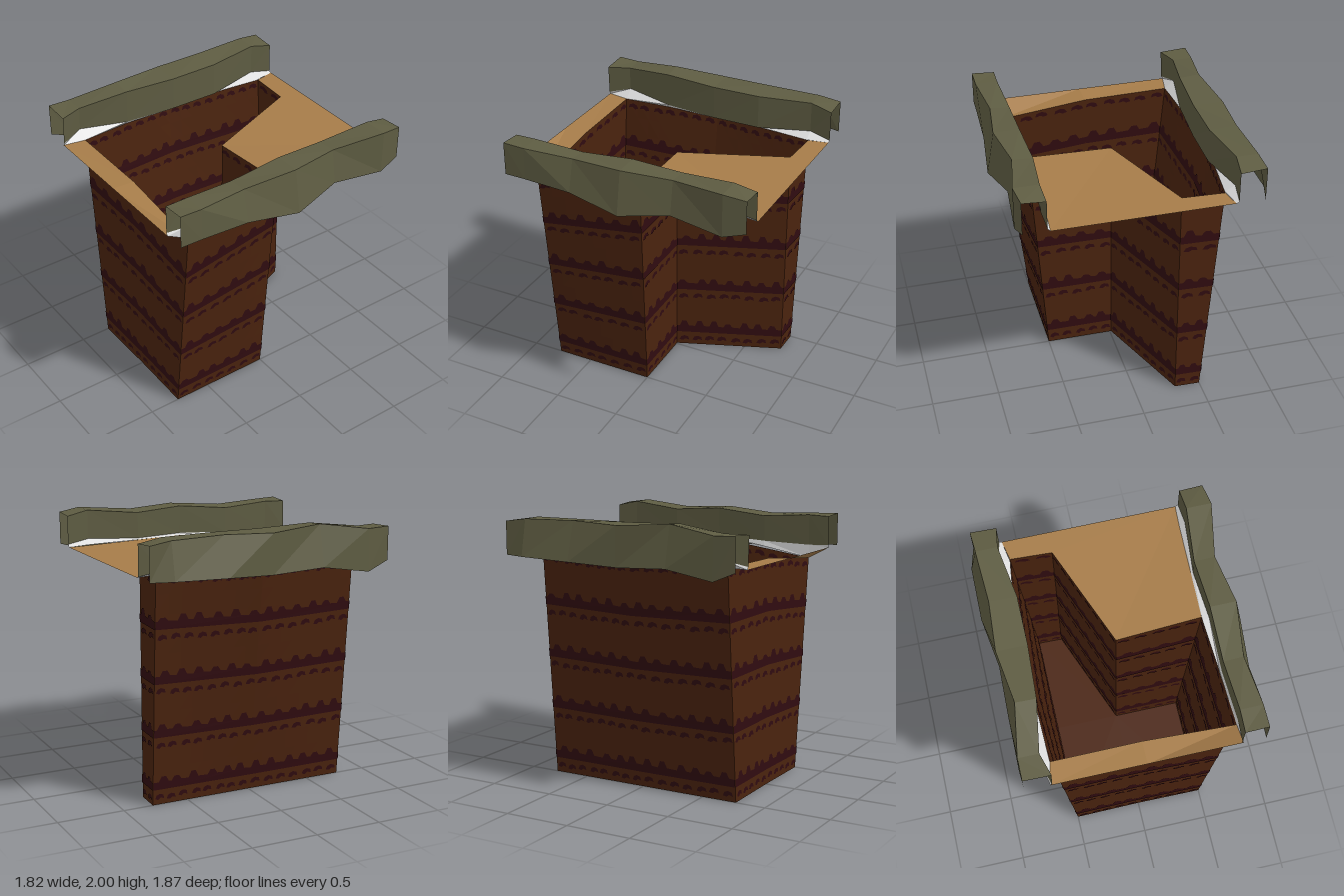
import * as THREE from 'three';
import { mergeGeometries } from 'three/addons/utils/BufferGeometryUtils.js';

const mat = (name, color) => {
  const m = new THREE.MeshStandardMaterial({ color, side: THREE.DoubleSide, flatShading: true });
  m.name = name;
  return m;
};

// Grid surface through rows of [x, y, z] points
function loft(rows) {
  const n = rows[0].length, index = [];
  for (let i = 0; i < rows.length - 1; i++)
    for (let j = 0; j < n - 1; j++) {
      const a = i * n + j, b = a + n;
      index.push(a, b, a + 1, b, b + 1, a + 1);
    }
  const g = new THREE.BufferGeometry();
  g.setAttribute('position', new THREE.Float32BufferAttribute(rows.flat(2), 3));
  g.setIndex(index);
  g.computeVertexNormals();
  return g;
}

// Polygon fan in the given corner order
function fan(points) {
  const g = new THREE.BufferGeometry(), index = [];
  for (let i = 1; i < points.length - 1; i++) index.push(0, i, i + 1);
  g.setAttribute('position', new THREE.Float32BufferAttribute(points.flat(), 3));
  g.setIndex(index);
  g.computeVertexNormals();
  return g;
}

// Dark layer outlines on a unit wall: wavy-topped bands with loose blobs beneath
function strataShapes(width, seed) {
  const shapes = [];
  const rnd = () => (seed = (seed * 16807) % 2147483647) / 2147483647;
  const bumps = Math.max(1, Math.round(width / 0.14)), blobs = Math.max(1, Math.round(width / 0.115));
  for (let k = 0; k < 5; k++) {
    const base = 0.068 + k * 0.2345;
    if (k < 4) {
      const s = new THREE.Shape();
      s.moveTo(0, base);
      s.lineTo(1, base);
      s.lineTo(1, base + 0.034);
      for (let i = bumps - 1; i >= 0; i--) {
        const c = (i + 0.35 + rnd() * 0.3) / bumps, w = 0.3 / bumps, h = 0.013 + rnd() * 0.016;
        s.lineTo(c + w, base + 0.036);
        s.lineTo(c + w * 0.45, base + 0.036 + h);
        s.lineTo(c - w * 0.45, base + 0.036 + h);
        s.lineTo(c - w, base + 0.034);
      }
      s.lineTo(0, base + 0.034);
      shapes.push(s);
    }
    for (let i = 0; i < blobs; i++) {
      const c = (i + 0.42 + rnd() * 0.16) / blobs, w = 0.37 / blobs, y = base - 0.038 + rnd() * 0.008;
      shapes.push(new THREE.Shape([[-1, -0.008], [-0.3, -0.012], [0.2, -0.003], [1, -0.008], [0.8, 0.009], [0, 0.015], [-0.7, 0.008]]
        .map(([px, py]) => new THREE.Vector2(c + px * w, y + py))));
    }
  }
  return shapes;
}

export function createModel() {
  const group = new THREE.Group();
  const soil = mat('soil brown', 0x4a230e), layer = mat('dark soil layer', 0x300c10);
  const sand = mat('sandy ground', 0xa67c49), olive = mat('olive bank', 0x5e5c42);
  const pale = mat('pale skirt', 0xdcdcdc);
  const add = (name, geo, m) => {
    const mesh = new THREE.Mesh(geo, m);
    mesh.name = name;
    group.add(mesh);
  };

  // Pit outline: top ring and floor ring, in the same order
  const top = [[-0.65, 1.71, 0.77], [0, 1.7, 0.765], [0.68, 1.62, 0.77], [0.62, 1.74, -0.025],
    [-0.01, 1.71, 0], [-0.31, 1.71, -0.77], [-0.62, 1.71, -0.785], [-0.71, 1.7, 0]];
  const floor = [[-0.5, 0, 0.77], [0, 0, 0.765], [0.5, 0, 0.77], [0.5, 0, 0],
    [-0.01, 0, 0], [-0.31, 0, -0.77], [-0.5, 0, -0.775], [-0.5, 0, 0]];

  // Walls, with thin painted layers on both faces
  const V = (p) => new THREE.Vector3(...p);
  const walls = [], paint = [];
  for (let i = 0; i < 8; i++) {
    const j = (i + 1) % 8;
    const a = V(floor[i]), b = V(floor[j]), c = V(top[i]), d = V(top[j]);
    const normal = b.clone().sub(a).cross(c.clone().sub(a)).normalize();
    const place = (geo, offset) => {
      const p = geo.attributes.position;
      for (let k = 0; k < p.count; k++) {
        const u = p.getX(k), v = p.getY(k);
        const q = a.clone().lerp(b, u).lerp(c.clone().lerp(d, u), v).addScaledVector(normal, offset);
        p.setXYZ(k, q.x, q.y, q.z);
      }
      geo.computeVertexNormals();
      return geo;
    };
    walls.push(place(new THREE.PlaneGeometry(1, 1, 8, 12).translate(0.5, 0.5, 0), 0));
    const shapes = strataShapes(a.distanceTo(b) * 1.12, 41 + i * 97);
    for (const side of [-0.004, 0.004]) paint.push(place(new THREE.ShapeGeometry(shapes), side));
  }
  add('pitWalls', mergeGeometries(walls), soil);
  add('wallLayers', mergeGeometries(paint), layer);

  // Floor, fanned from its inner corner, and a dark patch
  add('pitFloor', fan([4, 5, 6, 7, 0, 1, 2, 3].map((i) => floor[i])), soil);
  add('floorPatch', fan([[0.12, 0.005, 0.765], [0.5, 0.005, 0.765], [0.5, 0.005, 0.7], [0.19, 0.005, 0.57]]), layer);

  // Sandy ground in front of and behind the opening
  const backLeft = [-0.65, 1.71, -0.935], backRight = [0.65, 1.71, -0.935];
  add('frontGround', loft([[top[0], top[1], top[2]],
    [[-0.68, 1.71, 0.935], [0, 1.71, 0.935], [0.68, 1.71, 0.935]]]), sand);
  add('backGround', mergeGeometries([
    fan([top[5], top[6], backLeft, backRight]),
    fan([backRight, top[3], top[4], top[5]])]), sand);

  // Side banks: bent channels open below, each with a pale skirt down to the pit edge
  const zs = [-0.935, -0.77, -0.37, 0, 0.4, 0.77, 0.935];
  const banks = {
    right: {
      s: -1,
      edgeX: [0.65, 0.62, 0.67, 0.71, 0.68, 0.65, 0.68], edgeY: [1.71, 1.71, 1.705, 1.7, 1.705, 1.71, 1.71],
      inX: [0.67, 0.695, 0.63, 0.635, 0.66, 0.72, 0.67], inY: [1.72, 1.75, 1.72, 1.72, 1.73, 1.77, 1.73],
      topIn: [0.67, 0.69, 0.63, 0.63, 0.65, 0.71, 0.66], topOut: [0.86, 0.85, 0.83, 0.855, 0.8, 0.86, 0.86],
      outX: [0.86, 0.905, 0.91, 0.855, 0.865, 0.87, 0.86], outY: [1.71, 1.71, 1.7, 1.68, 1.7, 1.64, 1.71],
      topY: [1.945, 1.98, 1.975, 1.975, 1.99, 1.95, 1.945],
    },
    left: {
      s: 1,
      edgeX: [0.65, 0.64, 0.63, 0.62, 0.65, 0.68, 0.68], edgeY: [1.71, 1.72, 1.73, 1.74, 1.69, 1.62, 1.71],
      inX: [0.67, 0.68, 0.645, 0.67, 0.66, 0.68, 0.67], inY: [1.73, 1.76, 1.74, 1.75, 1.73, 1.72, 1.73],
      topIn: [0.67, 0.68, 0.64, 0.66, 0.655, 0.675, 0.67], topOut: [0.84, 0.865, 0.79, 0.85, 0.8, 0.84, 0.84],
      outX: [0.84, 0.865, 0.83, 0.905, 0.86, 0.845, 0.84], outY: [1.71, 1.66, 1.7, 1.64, 1.7, 1.71, 1.71],
      topY: [1.945, 1.98, 1.94, 1.965, 1.925, 1.95, 1.945],
    },
  };
  for (const [side, b] of Object.entries(banks)) {
    add(side + 'Bank', loft(zs.map((z, i) => [
      [b.s * b.inX[i], b.inY[i], z], [b.s * b.topIn[i], b.topY[i], z],
      [b.s * b.topOut[i], b.topY[i] + (i % 2 ? 0 : 0.012), z], [b.s * b.outX[i], b.outY[i], z]])), olive);
    add(side + 'Skirt', loft(zs.map((z, i) => [
      [b.s * b.edgeX[i], b.edgeY[i], z], [b.s * b.inX[i], b.inY[i], z]])), pale);
  }
  return group;
}
